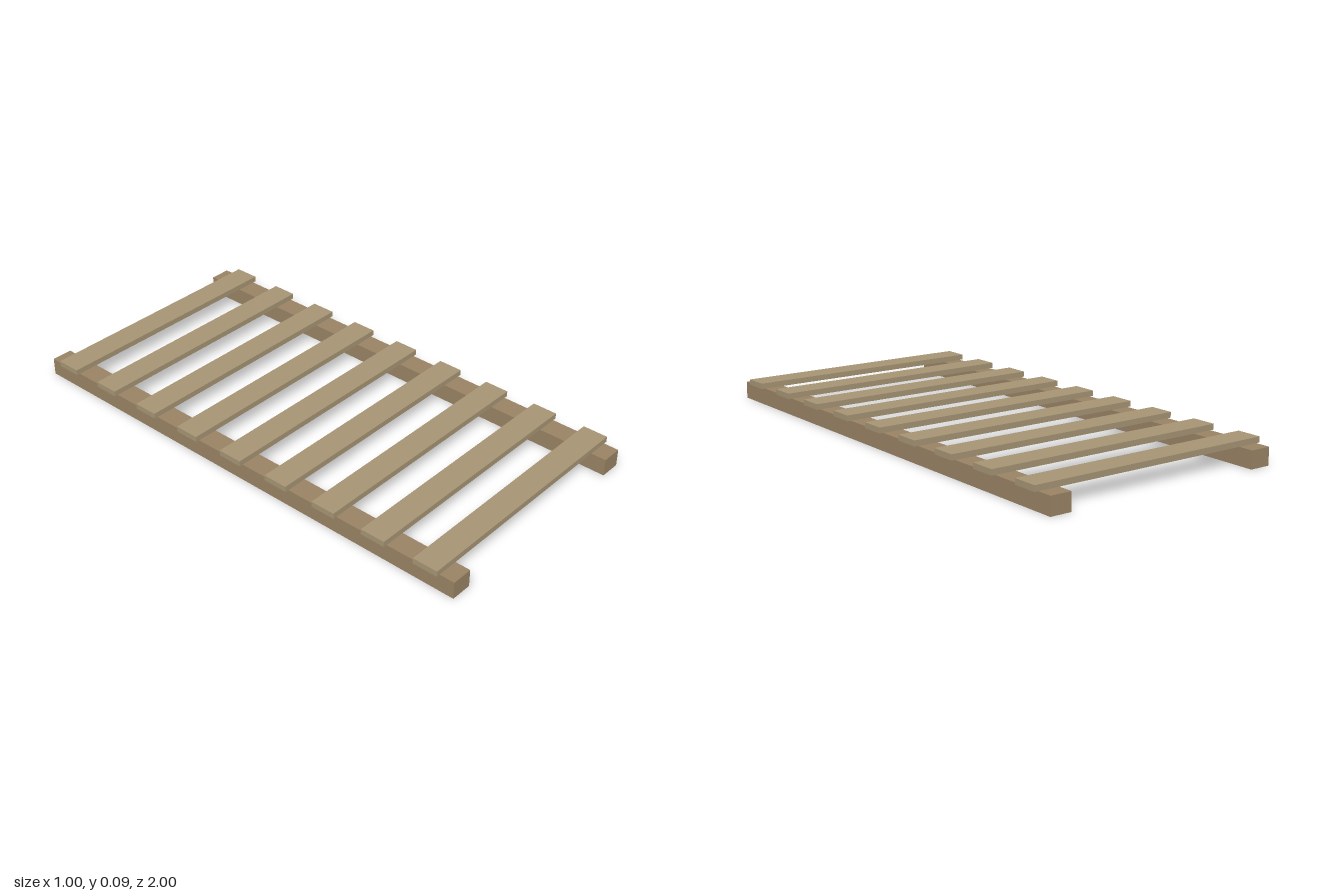
import * as THREE from 'three';

export function createModel() {
  const group = new THREE.Group();
  const railMaterial = new THREE.MeshStandardMaterial({ color: 0x988264 });
  const slatMaterial = new THREE.MeshStandardMaterial({ color: 0xa59473 });

  const railHeight = 0.068, slatHeight = 0.022;

  // Two long rails resting on the ground
  const railGeometry = new THREE.BoxGeometry(0.084, railHeight, 2);
  for (const [name, side] of [['leftRail', 1], ['rightRail', -1]]) {
    const rail = new THREE.Mesh(railGeometry, railMaterial);
    rail.name = name;
    rail.position.set(side * 0.443, railHeight / 2, 0);
    group.add(rail);
  }

  // Nine evenly spaced cross slats lying on the rails
  const slatGeometry = new THREE.BoxGeometry(1, slatHeight, 0.1);
  const count = 9, spacing = 0.2225;
  for (let i = 0; i < count; i++) {
    const slat = new THREE.Mesh(slatGeometry, slatMaterial);
    slat.name = `slat${i + 1}`;
    slat.position.set(0, railHeight + slatHeight / 2, (i - (count - 1) / 2) * spacing);
    group.add(slat);
  }
  return group;
}
